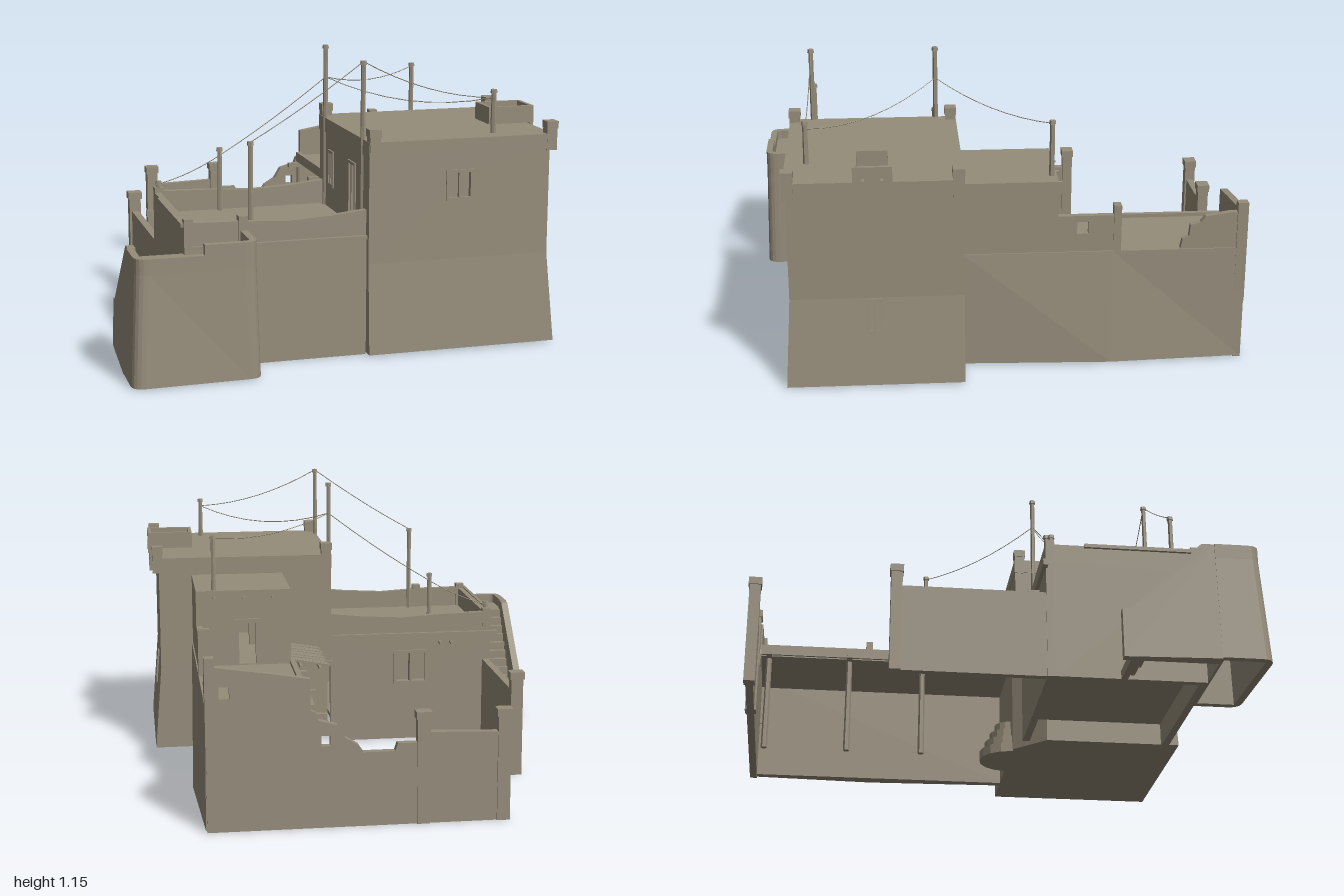
import * as THREE from 'three';

const clay = new THREE.MeshStandardMaterial({ color: 0x968d7b });
clay.name = 'sunBakedClay';
clay.flatShading = true;

export function createModel() {
  const root = new THREE.Group();
  const add = (name, geo) => {
    const m = new THREE.Mesh(geo, clay);
    m.name = name;
    root.add(m);
    return m;
  };
  const box = (name, x0, x1, y0, y1, z0, z1) =>
    add(name, new THREE.BoxGeometry(x1 - x0, y1 - y0, z1 - z0)
      .translate((x0 + x1) / 2, (y0 + y1) / 2, (z0 + z1) / 2));
  const shapeOf = (pts, holes = []) => {
    const s = new THREE.Shape(pts.map(p => new THREE.Vector2(...p)));
    for (const [a, b, c, d] of holes)
      s.holes.push(new THREE.Path([[a, c], [a, d], [b, d], [b, c]].map(p => new THREE.Vector2(...p))));
    return s;
  };
  const extrude = (s, depth) => new THREE.ExtrudeGeometry(s, { depth, bevelEnabled: false, curveSegments: 5 });
  // Upright wall along x (from z0) or along z (outer face at x1); holes are [u0, u1, y0, y1]
  const wallX = (name, pts, z0, t, holes) => add(name, extrude(shapeOf(pts, holes), t).translate(0, 0, z0));
  const wallZ = (name, pts, x1, t, holes) =>
    add(name, extrude(shapeOf(pts, holes), t).rotateY(-Math.PI / 2).translate(x1, 0, 0));
  const rect = (u0, u1, y0, y1) => [[u0, y0], [u1, y0], [u1, y1], [u0, y1]];
  // Ground plan [x, -z] pulled up, with a rule that spreads the foot
  const plan = (name, shape, y0, y1, foot) => {
    const g = extrude(shape, y1 - y0).rotateX(-Math.PI / 2).translate(0, y0, 0);
    const p = g.attributes.position;
    for (let i = 0; foot && i < p.count; i++) {
      if (p.getY(i) > y0 + 0.001) continue;
      const [dx, dz] = foot(p.getX(i), p.getZ(i));
      p.setXYZ(i, p.getX(i) + dx, y0, p.getZ(i) + dz);
    }
    g.computeVertexNormals();
    return add(name, g);
  };
  const rod = (name, a, b, r, sides = 6) => {
    const A = new THREE.Vector3(...a), B = new THREE.Vector3(...b);
    const d = B.clone().sub(A), g = new THREE.CylinderGeometry(r * 0.85, r, d.length(), sides);
    const m = add(name, g);
    m.position.copy(A).add(B).multiplyScalar(0.5);
    m.quaternion.setFromUnitVectors(new THREE.Vector3(0, 1, 0), d.normalize());
    return m;
  };
  // Raised window frame with a centre bar, turned to its wall and tilted with it
  const frame = (name, x, y, z, w, h, turn, tilt = 0) => {
    const g = new THREE.Group();
    g.name = name;
    const bar = (bw, bh, bx, by) => {
      const m = new THREE.Mesh(new THREE.BoxGeometry(bw, bh, 0.012), clay);
      m.name = 'frameBar';
      m.position.set(bx, by, 0);
      g.add(m);
    };
    for (const s of [-1, 1]) {
      bar(0.012, h, s * w / 2, 0);
      bar(w + 0.012, 0.012, 0, s * h / 2);
    }
    bar(0.01, h, 0, 0);
    g.position.set(x, y, z);
    g.rotation.set(tilt, turn, 0, 'YXZ');
    root.add(g);
  };

  // Tower: flared lower storey with one cut corner, hollow upper storey, roof
  plan('towerBase', shapeOf([[0.21, -0.14], [0.08, -0.27], [0.08, -0.815], [0.825, -0.815], [0.825, -0.14]]), 0.008, 0.37,
    (x, z) => [x > 0.5 ? 0.03 : 0, z > 0.6 ? 0.022 : 0]);
  box('cutCornerCap', 0.075, 0.21, 0.35, 0.375, 0.135, 0.27);
  wallX('towerFrontWall', rect(0.08, 0.825, 0.37, 0.8), 0.785, 0.03, [[0.4, 0.5, 0.61, 0.72]]);
  wallX('towerBackWall', rect(0.08, 0.825, 0.37, 0.8), 0.14, 0.03, [[0.44, 0.51, 0.46, 0.66]]);
  wallZ('towerLeftWall', rect(0.17, 0.785, 0.37, 0.8), 0.825, 0.03);
  wallZ('towerRightWall', rect(0.17, 0.785, 0.37, 0.8), 0.11, 0.03,
    [[0.56, 0.64, 0.52, 0.73], [0.28, 0.34, 0.58, 0.72]]);
  box('towerRoof', 0.077, 0.838, 0.79, 0.85, 0.137, 0.825);
  for (const x of [0.1, 0.83]) for (const z of [0.16, 0.805]) {
    box('cornerPost', x - 0.021, x + 0.021, 0.785, 0.88, z - 0.021, z + 0.021);
    box('cornerPostCap', x - 0.024, x + 0.024, 0.87, 0.9, z - 0.024, z + 0.024);
  }
  frame('frontWindow', 0.45, 0.665, 0.815, 0.1, 0.11, 0);
  frame('sideWindow', 0.832, 0.295, 0.49, 0.055, 0.13, Math.PI / 2, -0.08);
  frame('terraceDoorFrame', 0.08, 0.625, 0.6, 0.08, 0.21, Math.PI / 2);
  frame('terraceWindow', 0.08, 0.65, 0.31, 0.06, 0.14, Math.PI / 2);

  // Lookout box over the tower edge, with arched support
  box('lookoutBack', 0.67, 0.685, 0.85, 0.92, 0.41, 0.56);
  for (const z of [0.41, 0.545]) box('lookoutSide', 0.685, 0.85, 0.85, 0.92, z, z + 0.015);
  wallZ('lookoutFront', rect(0.41, 0.56, 0.83, 0.92), 0.865, 0.015,
    [[0.445, 0.455, 0.865, 0.875], [0.515, 0.525, 0.865, 0.875]]);
  const arch = shapeOf([[0.415, 0.75], [0.44, 0.75], [0.445, 0.78], [0.465, 0.805], [0.505, 0.805],
    [0.525, 0.78], [0.53, 0.75], [0.555, 0.75], [0.555, 0.83], [0.415, 0.83]]);
  add('lookoutArch', extrude(arch, 0.04).rotateY(-Math.PI / 2).translate(0.86, 0, 0));

  // Low wing: walls around a raised floor, roof terrace and sagging parapets
  wallX('wingFrontWall', rect(-0.64, 0.08, 0, 0.48), 0.76, 0.03);
  wallX('wingBackWall', rect(-0.64, 0.08, 0, 0.48), 0.165, 0.03, [[-0.35, -0.285, 0.26, 0.4], [-0.275, -0.21, 0.26, 0.4]]);
  wallZ('wingSideWall', rect(0.195, 0.76, 0, 0.48), -0.61, 0.03);
  box('wingFloor', -0.61, 0.08, 0.1, 0.12, 0.195, 0.76);
  box('wingRoof', -0.61, 0.08, 0.45, 0.48, 0.195, 0.76);
  const sag = [[-0.64, 0.47], [0.08, 0.47], [0.08, 0.58], [-0.06, 0.565], [-0.24, 0.555], [-0.42, 0.565], [-0.64, 0.57]];
  wallX('wingFrontParapet', sag, 0.757, 0.025);
  wallX('wingBackParapet', sag, 0.165, 0.028);
  wallZ('wingSideParapet', rect(0.17, 0.78, 0.47, 0.565), -0.615, 0.025);
  box('wingSideRail', -0.652, -0.638, 0.555, 0.57, 0.32, 0.78);
  box('wingBackBeam', -0.67, 0.1, 0.46, 0.485, 0.15, 0.17);
  box('wingFrontLedge', -0.4, 0.08, 0.465, 0.48, 0.785, 0.797);
  for (const [x, z] of [[-0.622, 0.182], [-0.622, 0.77], [-0.41, 0.77]])
    box('parapetPost', x - 0.018, x + 0.018, 0.46, 0.585, z - 0.018, z + 0.018);
  frame('courtWindow', -0.28, 0.33, 0.162, 0.14, 0.14, 0);
  for (const x of [-0.46, -0.41]) rod('beamEnd', [x, 0.44, 0.2], [x, 0.44, 0.12], 0.008);

  // Stair landing: hollow, with rounded corners, thin walls and spreading foot
  const r = 0.05, L = -0.86, R = -0.395, B = -0.79, F = -0.97, deck = 0.45;
  const outline = () => {
    const s = new THREE.Shape();
    s.moveTo(L, B); s.lineTo(L, F + r);
    s.quadraticCurveTo(L, F, L + r, F); s.lineTo(R - r, F);
    s.quadraticCurveTo(R, F, R, F + r); s.lineTo(R, B);
    return s;
  };
  const shell = outline();
  shell.holes.push(new THREE.Path([[L + 0.03, B - 0.01], [R - 0.03, B - 0.01], [R - 0.03, F + 0.03], [L + 0.03, F + 0.03]]
    .map(p => new THREE.Vector2(...p))));
  plan('landingWalls', shell, 0.005, deck - 0.02,
    (x, z) => [x < -0.75 ? -0.02 : x > -0.5 ? 0.012 : 0, z > 0.85 ? (x < -0.7 ? 0.02 : 0.01) : 0]);
  plan('landingDeck', outline(), deck - 0.02, deck);
  const rim = (name, x0, x1, top) => {
    const a = x0 === L, s = new THREE.Shape(), t = 0.027, e = a ? 1 : -1, o = a ? x0 : x1, i = a ? x1 : x0;
    s.moveTo(o, B); s.lineTo(o, F + r); s.quadraticCurveTo(o, F, o + e * r, F);
    s.lineTo(i, F); s.lineTo(i, F + t); s.lineTo(o + e * r, F + t);
    s.quadraticCurveTo(o + e * t, F + t, o + e * t, F + r); s.lineTo(o + e * t, B);
    plan(name, s, deck, top);
  };
  rim('landingOuterRim', L, -0.6, 0.49);
  rim('landingInnerRim', -0.6, R, 0.53);

  // Outside stair
  const N = 13, run = 0.34 / N, rise = deck / N;
  for (let i = 0; i < N; i++)
    box('stairStep', -0.84, -0.64, Math.max(0, rise * (i - 0.5)), rise * (i + 1), 0.45 + i * run, 0.45 + (i + 1) * run);
  const cheek = wallZ('stairSideWall', [[0.42, 0], [0.79, 0], [0.79, 0.49], [0.74, 0.49], [0.45, 0.2], [0.42, 0.2]], -0.825, 0.03);
  const cp = cheek.geometry.attributes.position;
  for (let i = 0; i < cp.count; i++)
    if (cp.getY(i) < 0.01 && cp.getX(i) < -0.85) cp.setX(i, cp.getZ(i) < 0.6 ? -0.86 : -0.88);
  cheek.geometry.computeVertexNormals();

  // Porch terrace on posts, with upper room
  box('porchDeck', 0.29, 0.68, 0.425, 0.46, -0.96, 0.14);
  box('porchBeam', 0.28, 0.3, 0.43, 0.475, -0.96, 0.14);
  for (const z of [-0.92, -0.57, -0.25]) {
    rod('porchPost', [0.285, 0, z], [0.285, 0.43, z], 0.014);
    box('postBracket', 0.23, 0.3, 0.41, 0.43, z - 0.012, z + 0.012);
  }
  wallX('roomDoorWall', rect(0.295, 0.685, 0.45, 0.76), -0.235, 0.025, [[0.44, 0.51, 0.465, 0.64]]);
  wallZ('roomCourtWall', rect(-0.21, 0.14, 0.45, 0.76), 0.32, 0.025);
  wallZ('roomOuterWall', rect(-0.21, 0.14, 0.45, 0.76), 0.685, 0.025);
  box('roomRoof', 0.295, 0.685, 0.75, 0.775, -0.235, 0.14);
  for (let i = 0; i < 3; i++) rod('roofBeamEnd', [0.37 + i * 0.12, 0.745, -0.2], [0.37 + i * 0.12, 0.745, -0.255], 0.007);
  box('roomDoorLintel', 0.42, 0.53, 0.64, 0.655, -0.245, -0.23);

  // Outer yard wall with bulging foot, broken corner and window piece
  plan('yardSideWall', shapeOf([[0.66, -0.14], [0.69, -0.14], [0.69, 0.45], [0.69, 0.98], [0.66, 0.98]]), 0.008, 0.48,
    (x, z) => [x > 0.68 ? (z < -0.3 && z > -0.6 ? 0.03 : 0.005) : 0, 0]);
  wallZ('yardWindowWall', rect(-0.46, -0.235, 0.47, 0.63), 0.685, 0.025, [[-0.355, -0.31, 0.555, 0.605]]);
  box('yardWallPost', 0.645, 0.69, 0.43, 0.67, -0.485, -0.455);
  wallZ('brokenCornerWall', [[-0.98, 0.47], [-0.72, 0.47], [-0.73, 0.52], [-0.755, 0.53], [-0.76, 0.58],
    [-0.8, 0.59], [-0.82, 0.615], [-0.92, 0.63], [-0.98, 0.63]], 0.685, 0.025);
  box('yardCornerPost', 0.655, 0.692, 0.25, 0.67, -0.987, -0.945);
  wallX('yardBackWall', [[-0.44, 0], [0.69, 0], [0.69, 0.64], [0.45, 0.605], [0.3, 0.58], [0.3, 0.46], [0.28, 0.45],
    [0.27, 0.42], [0.2, 0.4], [0.17, 0.35], [0.12, 0.32], [0.1, 0.29], [-0.02, 0.29], [-0.03, 0.32], [-0.13, 0.32],
    [-0.14, 0.36], [-0.44, 0.35]], -0.985, 0.03,
    [[0.6, 0.64, 0.515, 0.56], [0.225, 0.26, 0.32, 0.36]]);

  // Low court wall and gate posts
  box('courtSideWall', -0.635, -0.605, 0, 0.355, -0.4, 0.17);
  for (const [x, z] of [[-0.44, -0.97], [-0.13, -0.97], [-0.62, -0.42]]) {
    box('gatePost', x - 0.025, x + 0.025, 0, 0.42, z - 0.022, z + 0.022);
    box('gatePostCap', x - 0.03, x + 0.03, 0.41, 0.44, z - 0.026, z + 0.026);
  }

  // Round steps up to the tower
  for (let i = 0; i < 4; i++) {
    const R0 = 0.13 - i * 0.022;
    add('entranceStep', new THREE.CylinderGeometry(R0, R0, 0.04, 8, 1, false, Math.PI / 2, Math.PI)
      .translate(0.34, 0.02 + i * 0.04, 0.141));
  }

  // Slat awning by the porch
  for (let i = 0; i < 15; i++) {
    const slat = box('awningSlat', -0.08, 0.08, -0.004, 0.004, -0.008, 0.008);
    slat.position.set(0.215 + (i * 7 % 5 - 2) * 0.003, 0.452, -0.195 + i * 0.0225);
    slat.rotation.set(0, (i % 3 - 1) * 0.04, 0.17);
  }
  for (const x of [0.17, 0.25]) rod('awningRail', [x, 0.41 + x * 0.1, -0.21], [x, 0.41 + x * 0.1, 0.14], 0.007, 5);

  // Poles and sagging lines
  for (const [x, z, y0, y1] of [[-0.37, 0.74, 0.48, 0.86], [-0.37, 0.21, 0.48, 0.74], [0.08, 0.73, 0.48, 1.15],
    [0.08, 0.22, 0.48, 1.15], [0.615, 0.74, 0.85, 1.02], [0.61, -0.215, 0.77, 1.0], [-0.622, 0.19, 0.48, 0.61]]) {
    rod('linePole', [x, y0, z], [x, y1, z], 0.011);
    rod('poleCap', [x, y1 - 0.012, z], [x, y1 + 0.003, z], 0.014);
  }
  const line = (a, b, drop) => {
    const A = new THREE.Vector3(...a), C = new THREE.Vector3(...b);
    const M = A.clone().add(C).multiplyScalar(0.5);
    M.y -= drop * 2;
    add('hangingLine', new THREE.TubeGeometry(new THREE.QuadraticBezierCurve3(A, M, C), 8, 0.0018, 4));
  };
  line([-0.37, 0.86, 0.74], [0.08, 1.15, 0.73], 0.01);
  line([0.08, 1.15, 0.73], [0.615, 0.99, 0.74], 0.035);
  line([-0.622, 0.6, 0.19], [-0.37, 0.71, 0.21], 0.012);
  line([-0.37, 0.71, 0.21], [0.08, 1.02, 0.22], 0.01);
  line([0.08, 1.02, 0.22], [0.615, 0.99, 0.74], 0.055);
  line([0.08, 1.02, 0.22], [0.61, 0.99, -0.215], 0.035);
  return root;
}
